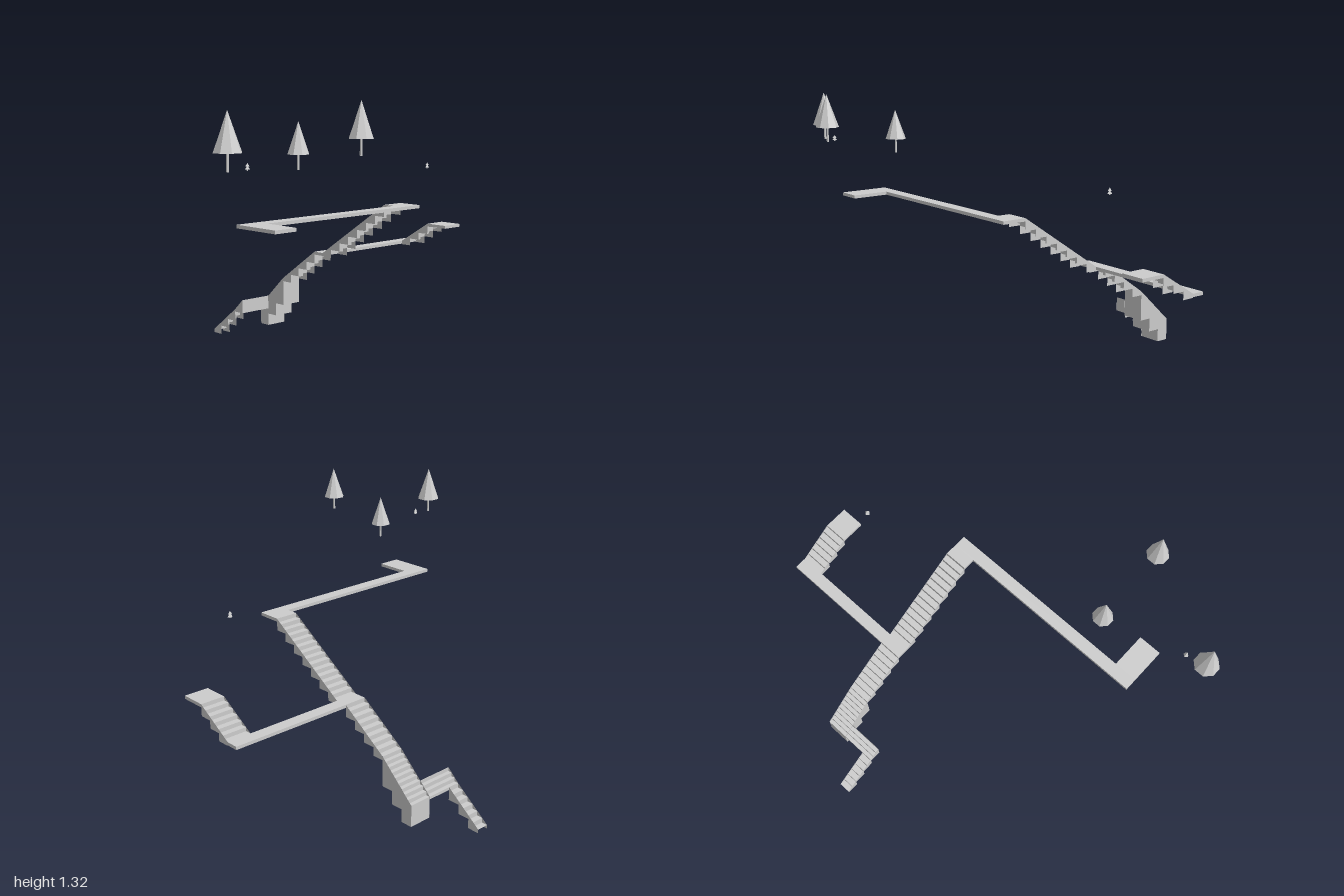
import * as THREE from 'three';
import { mergeGeometries } from 'three/addons/utils/BufferGeometryUtils.js';

const stone = new THREE.MeshStandardMaterial({ color: 0xcccccc, flatShading: true, side: THREE.DoubleSide });
stone.name = 'pale grey';
const CELL = 0.0615;  // depth of one stair section
const THICK = 0.0155; // slab thickness

function add(parent, name, geometry, x = 0, y = 0, z = 0) {
  const mesh = new THREE.Mesh(geometry, stone);
  mesh.name = name;
  mesh.position.set(x, y, z);
  parent.add(mesh);
  return mesh;
}

// Flat walkway slab given by its outline and top height
function slab(parent, name, x0, x1, z0, z1, top) {
  add(parent, name, new THREE.BoxGeometry(x1 - x0, THICK, z1 - z0),
    (x0 + x1) / 2, top - THICK / 2, (z0 + z1) / 2);
}

// Points of a stepped line from (z0, h0) down to (z1, h1)
function stepLine(z0, z1, h0, h1, count) {
  const points = [[z0, h0]];
  for (let i = 0; i < count; i++) {
    const y = h0 + (h1 - h0) * (i + 1) / count;
    points.push([z0 + (z1 - z0) * i / count, y], [z0 + (z1 - z0) * (i + 1) / count, y]);
  }
  return points;
}

const toShape = pts => new THREE.Shape(pts.map(p => new THREE.Vector2(p[0], p[1])));

// One stair section: sloped side plates with steps between, open below unless solid
function stairCell(parent, x0, x1, z0, z1, h0, h1, bottom, steps, solid) {
  const line = stepLine(z0, z1, h0, h1, steps);
  for (const x of [x0, x1]) {
    const plate = new THREE.ShapeGeometry(toShape([[z0, h0], [z1, h1], [z1, bottom], [z0, bottom]]));
    add(parent, 'stairSide', plate.rotateY(-Math.PI / 2), x);
  }
  if (solid) {
    const body = new THREE.ExtrudeGeometry(toShape([...line, [z1, bottom], [z0, bottom]]),
      { depth: x1 - x0 - 0.002, bevelEnabled: false });
    add(parent, 'solidSteps', body.rotateY(-Math.PI / 2), x1 - 0.001);
    return;
  }
  const quads = [];
  for (let i = 0; i < line.length - 1; i++) {
    const [za, ya] = line[i], [zb, yb] = line[i + 1];
    const riser = Math.abs(za - zb) < 1e-6;
    const quad = new THREE.PlaneGeometry(x1 - x0, riser ? ya - yb : za - zb);
    if (riser) quad.rotateY(Math.PI); else quad.rotateX(-Math.PI / 2);
    quads.push(quad.translate((x0 + x1) / 2, (ya + yb) / 2, (za + zb) / 2));
  }
  add(parent, 'steps', mergeGeometries(quads));
}

// A run of open stair sections going down towards the back
function flight(parent, name, x0, x1, z, h0, h1, cells) {
  const group = new THREE.Group();
  group.name = name;
  parent.add(group);
  const drop = (h0 - h1) / cells;
  for (let i = 0; i < cells; i++) {
    const top = h0 - drop * i, low = top - drop;
    stairCell(group, x0, x1, z - CELL * i, z - CELL * (i + 1), top, low, Math.max(0, low - 0.0185), 2, false);
  }
}

// Faceted conifer with a thin trunk
function tree(parent, x, z, base, skirt, top, radius) {
  const group = new THREE.Group();
  group.name = 'tree';
  group.position.set(x, base, z);
  parent.add(group);
  const low = skirt - base, h = top - skirt;
  add(group, 'trunk', new THREE.CylinderGeometry(0.005, 0.006, low + 0.02, 6), 0, (low + 0.02) / 2);
  const profile = [[0.001, 0.012], [radius * 0.75, 0.008], [radius, 0], [radius * 0.55, h * 0.45], [0.0005, h]];
  add(group, 'crown', new THREE.LatheGeometry(profile.map(p => new THREE.Vector2(...p)), 8), 0, low)
    .rotation.y = Math.PI / 8;
}

// Tiny two-tier shrub
function shrub(parent, x, z, base) {
  const group = new THREE.Group();
  group.name = 'shrub';
  group.position.set(x, base, z);
  parent.add(group);
  add(group, 'lowerTier', new THREE.ConeGeometry(0.013, 0.016, 4), 0, 0.013);
  add(group, 'upperTier', new THREE.ConeGeometry(0.011, 0.014, 4), 0, 0.024);
  add(group, 'stem', new THREE.CylinderGeometry(0.004, 0.004, 0.01, 4), 0, 0.005);
}

export function createModel() {
  const model = new THREE.Group();
  model.name = 'hillsideStairs';

  // Upper walkway with its end platform
  slab(model, 'upperWalkway', -0.72, 0.38, 0.3235, 0.385, 0.802);
  slab(model, 'upperPlatform', -0.72, -0.602, 0.385, 0.568, 0.802);
  slab(model, 'upperLanding', 0.262, 0.38, 0.262, 0.3235, 0.802);

  // Main staircase and its middle landing
  flight(model, 'mainUpperFlight', 0.262, 0.38, 0.262, 0.802, 0.513, 7);
  slab(model, 'middleLanding', 0.262, 0.38, -0.23, -0.1685, 0.513);
  flight(model, 'mainLowerFlight', 0.262, 0.38, -0.23, 0.513, 0.34, 4);

  // Steep solid sections at the corner
  const drop = 0.058, corner = new THREE.Group();
  corner.name = 'cornerStairs';
  model.add(corner);
  [0.19, 0.122, 0.058].forEach((bottom, i) => {
    const z = -0.476 - CELL * i, top = 0.34 - drop * i;
    stairCell(corner, 0.262, 0.38, z, z - CELL, top, top - drop, bottom, 3, true);
  });
  stairCell(corner, 0.075, 0.262, -0.599, -0.6605, 0.224, 0.166, 0.152, 3, true);

  // Narrow bottom flight
  flight(model, 'bottomFlight', 0.075, 0.135, -0.6605, 0.166, 0.024, 3);

  // Side branch
  slab(model, 'branchWalkway', 0.38, 1, -0.23, -0.1685, 0.513);
  flight(model, 'branchFlight', 0.878, 1, 0.016, 0.628, 0.513, 3);
  slab(model, 'branchPlatform', 0.878, 1, 0.016, 0.14, 0.628);

  // Planting on the higher ground
  tree(model, -0.94, 0.54, 1.05, 1.125, 1.29, 0.06);
  tree(model, -0.45, 0.787, 1.103, 1.172, 1.325, 0.054);
  tree(model, -0.45, 0.415, 1.022, 1.09, 1.23, 0.05);
  shrub(model, -0.84, 0.54, 1.05);
  shrub(model, 0.76, 0.108, 0.943);
  return model;
}
